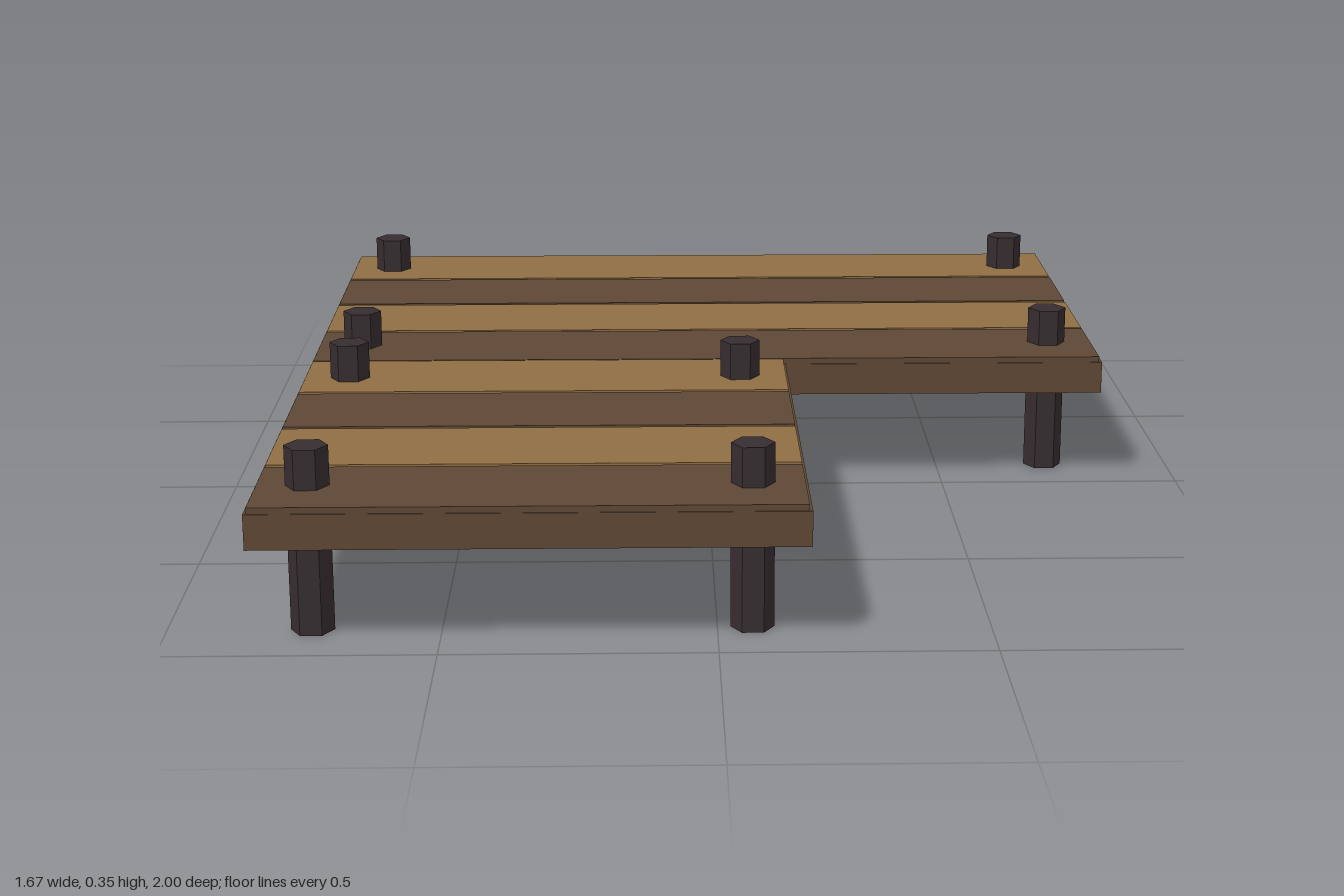
import * as THREE from 'three';

const material = (name, color) => {
  const m = new THREE.MeshStandardMaterial({ color });
  m.name = name;
  return m;
};

export function createModel() {
  const darkWood = material('dark wood', 0x5e4735);
  const lightWood = material('light wood', 0x906e45);
  const postWood = material('post wood', 0x362d30);
  const group = new THREE.Group();
  group.name = 'platform';

  const add = (name, geometry, mat, x, y, z) => {
    const mesh = new THREE.Mesh(geometry, mat);
    mesh.name = name;
    mesh.position.set(x, y, z);
    group.add(mesh);
  };
  const box = (name, mat, x0, x1, y0, y1, z0, z1) =>
    add(name, new THREE.BoxGeometry(x1 - x0, y1 - y0, z1 - z0), mat,
      (x0 + x1) / 2, (y0 + y1) / 2, (z0 + z1) / 2);

  const left = -0.833, bottom = 0.197, seat = 0.263, top = 0.275;
  const pitch = 0.25, gap = 0.006;

  // Wide rear deck and narrow front deck make an L shape
  const decks = [
    { name: 'rear', right: 0.833, z: -1, postX: [-0.735, 0.732], postZ: [-0.868, -0.134] },
    { name: 'front', right: 0.165, z: 0, postX: [-0.735, 0.064], postZ: [0.132, 0.866] },
  ];

  // Hexagonal post with corners pointing along x
  const postGeometry = new THREE.CylinderGeometry(0.04, 0.04, 0.35, 6)
    .rotateY(Math.PI / 2).toNonIndexed();
  postGeometry.computeVertexNormals();

  for (const d of decks) {
    box(d.name + 'DeckBase', darkWood, left, d.right, bottom, seat, d.z, d.z + 1);

    // Planks in alternating colours with narrow grooves between them
    for (let i = 0; i < 4; i++) {
      const z0 = d.z + i * pitch + (i === 0 ? 0.002 : gap);
      const z1 = d.z + (i + 1) * pitch - (i === 3 ? 0.002 : gap);
      box(d.name + 'Plank', i % 2 ? darkWood : lightWood,
        left + 0.006, d.right - 0.006, seat, top, z0, z1);
    }

    // Corner posts rise through the deck
    for (const x of d.postX) for (const z of d.postZ)
      add(d.name + 'Post', postGeometry, postWood, x, 0.175, z);
  }
  return group;
}
